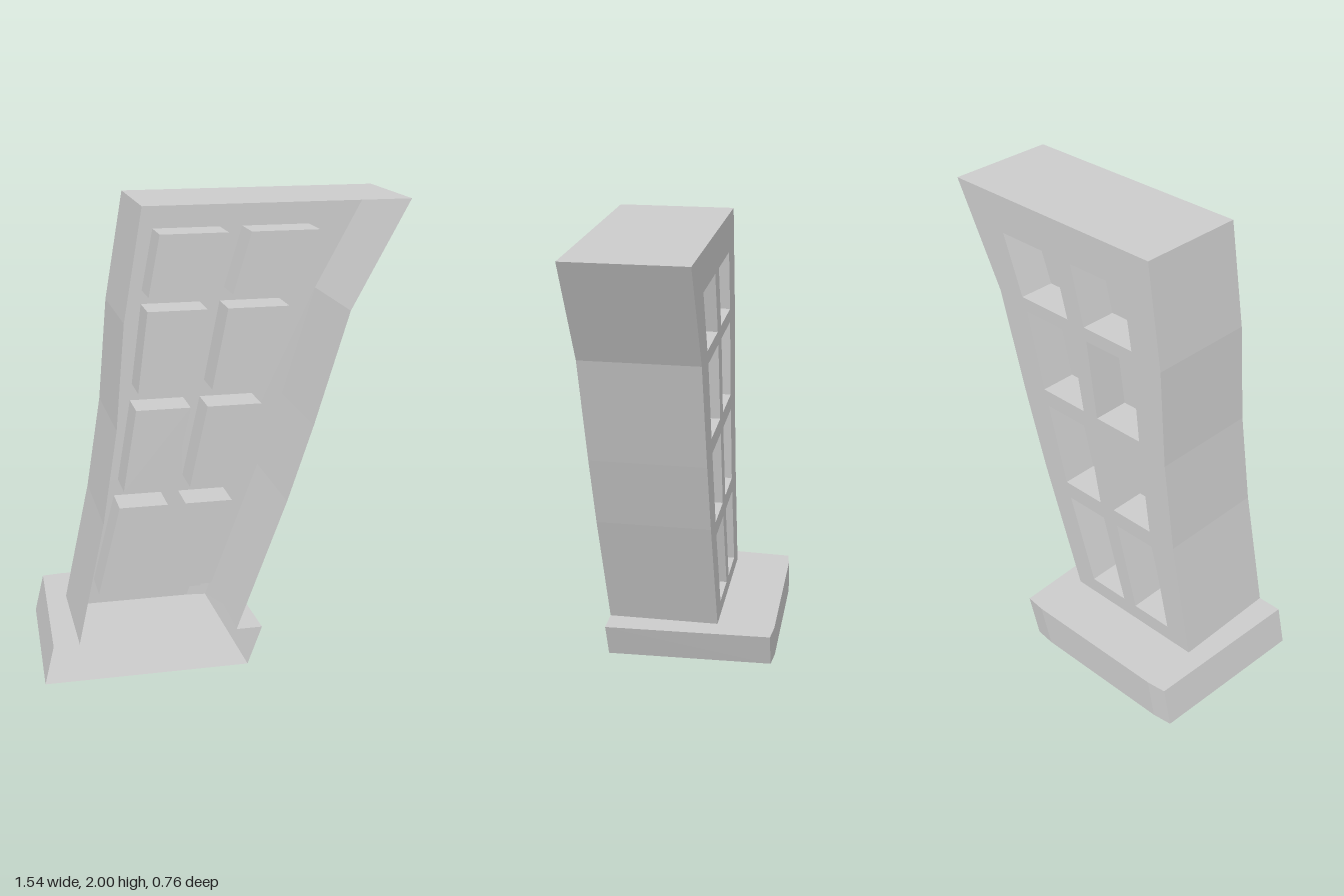
import * as THREE from 'three';

const material = new THREE.MeshStandardMaterial({ color: 0xcccccc, side: THREE.DoubleSide, flatShading: true });
const BACK = -0.12, FRONT = 0.38, PANE = 0.05, BASE_TOP = 0.17;

// Side edges of the leaning body, from top to base
const leftEdge = [[-0.335, 2], [-0.413, 1.54], [-0.45, 1.1], [-0.512, 0.7], [-0.625, BASE_TOP]];
const rightEdge = [[0.768, 2], [0.525, 1.55], [0.38, 1.07], [0.27, 0.74], [0.055, BASE_TOP]];

// Window rows: top y, bottom y, then per column [top x0, top x1, bottom x0, bottom x1]
const rows = [
  [1.835, 1.57, [-0.205, 0.09, -0.255, 0.015], [0.19, 0.49, 0.11, 0.385]],
  [1.51, 1.155, [-0.26, 0, -0.305, -0.06], [0.09, 0.36, 0.02, 0.265]],
  [1.08, 0.715, [-0.315, -0.075, -0.375, -0.16], [0, 0.24, -0.08, 0.135]],
  [0.64, 0.24, [-0.395, -0.18, -0.495, -0.3], [-0.1, 0.11, -0.23, -0.035]],
];

// Base outlines as [x, z], running from the left front round the back
const baseTop = [[-0.735, 0.38], [-0.705, -0.37], [-0.62, -0.38], [0.05, -0.38], [0.14, -0.37], [0.168, 0.38]];
const baseBottom = [[-0.775, 0.38], [-0.745, -0.37], [-0.66, -0.38], [-0.01, -0.38], [0.08, -0.37], [0.105, 0.38]];

const toShape = (points) => new THREE.Shape(points.map(([x, y]) => new THREE.Vector2(x, y)));

// Strip of quads between two matching rows of 3D points
function strip(a, b) {
  const index = [];
  for (let i = 0; i < a.length - 1; i++) {
    const j = i + a.length;
    index.push(i, j, i + 1, i + 1, j, j + 1);
  }
  const geometry = new THREE.BufferGeometry();
  geometry.setAttribute('position', new THREE.Float32BufferAttribute([...a, ...b].flat(), 3));
  geometry.setIndex(index);
  geometry.computeVertexNormals();
  return geometry;
}

// Extend an xy outline between two depths
const wall = (points, z0, z1) => strip(points.map(([x, y]) => [x, y, z0]), points.map(([x, y]) => [x, y, z1]));

// Flat sheet lying at height y, outlined in [x, z]
const level = (points, y) => new THREE.ShapeGeometry(toShape(points)).rotateX(Math.PI / 2).translate(0, y, 0);

export function createModel() {
  const model = new THREE.Group();
  const add = (name, geometry, parent = model) => {
    const mesh = new THREE.Mesh(geometry, material);
    mesh.name = name;
    parent.add(mesh);
  };

  // Body shell, open at the front
  add('leftBodyWall', wall(rightEdge, FRONT, BACK));
  add('rightBodyWall', wall(leftEdge, BACK, FRONT));
  add('bodyTop', wall([leftEdge[0], rightEdge[0]], FRONT, BACK));

  // Back panel pierced by recessed windows
  const panel = toShape([...leftEdge, ...[...rightEdge].reverse()]);
  const windows = new THREE.Group();
  windows.name = 'windows';
  for (const [top, bottom, ...columns] of rows) {
    for (const [t0, t1, b0, b1] of columns) {
      const corners = [[t0, top], [t1, top], [b1, bottom], [b0, bottom]];
      panel.holes.push(toShape(corners));
      add('windowReveal', wall([...corners, corners[0]], BACK, PANE), windows);
      add('windowPane', new THREE.ShapeGeometry(toShape(corners)).translate(0, 0, PANE), windows);
    }
  }
  add('backPanel', new THREE.ShapeGeometry(panel).translate(0, 0, BACK));
  model.add(windows);

  // Slanted base, open at the front and under the body
  add('baseSides', strip(baseTop.map(([x, z]) => [x, BASE_TOP, z]), baseBottom.map(([x, z]) => [x, 0, z])));
  add('baseFloor', level(baseBottom, 0));
  const notch = [[0.055, FRONT], [0.055, BACK], [-0.625, BACK], [-0.625, FRONT]];
  add('baseLedge', level([...baseTop, ...notch], BASE_TOP));

  return model;
}
